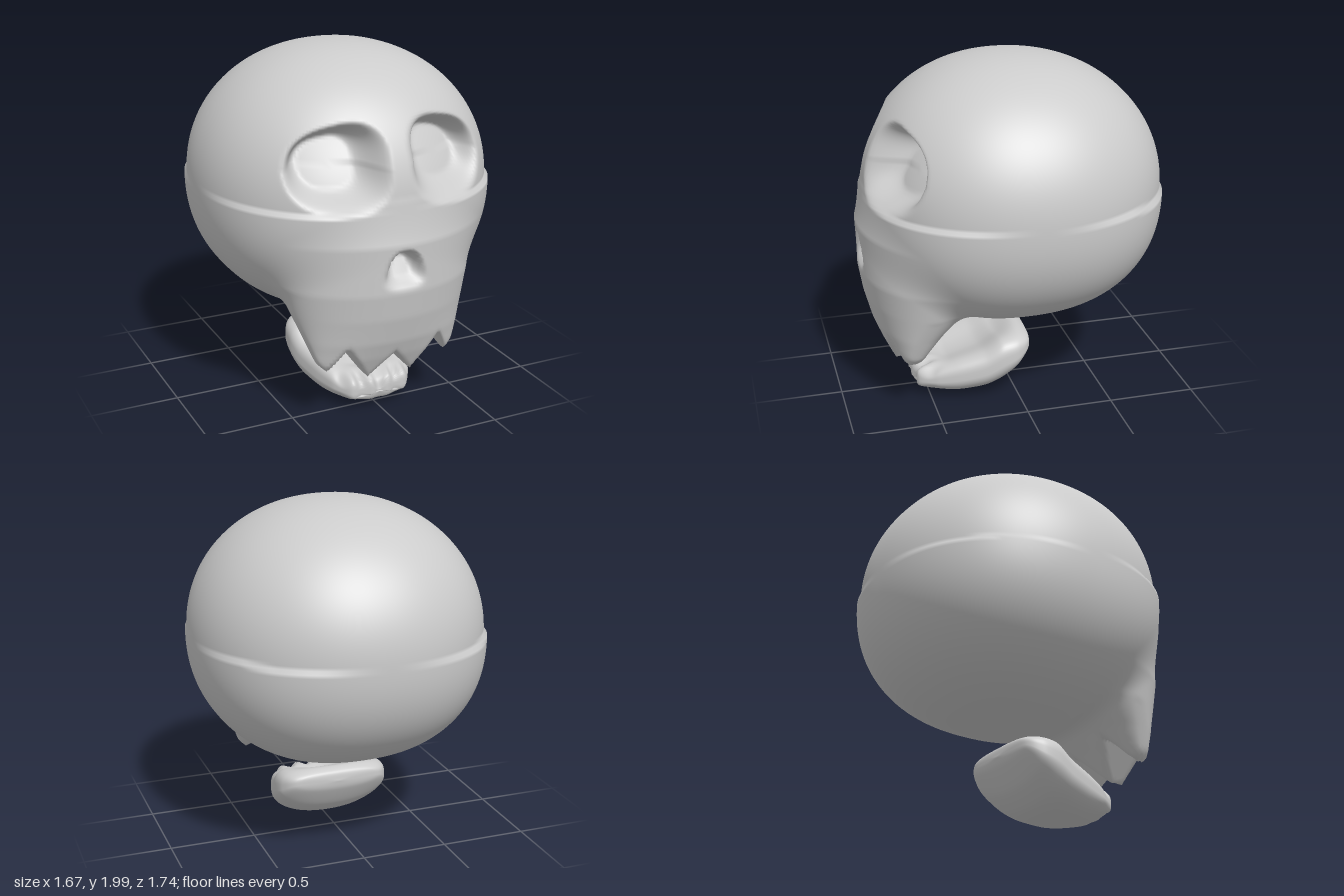
import * as THREE from 'three';
import { mergeVertices } from 'three/addons/utils/BufferGeometryUtils.js';

const { smoothstep, clamp } = THREE.MathUtils;

// Linear lookup: rows are [key, value, value, ...] with rising keys.
function lookup(rows, key) {
  let i = 1;
  while (i < rows.length - 1 && rows[i][0] < key) i++;
  const a = rows[i - 1], b = rows[i];
  const t = clamp((key - a[0]) / (b[0] - a[0]), 0, 1);
  return a.map((v, k) => v + (b[k] - v) * t);
}

function smoothMin(a, b, k) {
  const h = Math.max(k - Math.abs(a - b), 0) / k;
  return Math.min(a, b) - h * h * k * 0.25;
}
const smoothMax = (a, b, k) => -smoothMin(-a, -b, k);

// Face sections: height, front z, back z, half width
const FACE = [
  [0.28, 0.70, 0.58, 0.39], [0.4, 0.76, 0.47, 0.43], [0.5, 0.80, 0.37, 0.46],
  [0.65, 0.84, 0.2, 0.51], [0.8, 0.865, 0.1, 0.55], [1.07, 0.87, 0, 0.56],
  [1.3, 0.79, -0.1, 0.5], [1.5, 0.55, -0.1, 0.3],
];
// Lower edge of the upper teeth: distance from the middle, height
const TEETH = [[0, 0.42], [0.13, 0.265], [0.27, 0.475], [0.36, 0.325], [0.41, 0.36], [0.5, 0.6]];

// Negative inside the cranium
function cranium(x, y, z) {
  const dy = y - 1.25;
  const n = dy > 0 ? 2.1 : 2.3;
  const sum = Math.abs(x / 0.835) ** n + Math.abs(dy / (dy > 0 ? 0.75 : 0.74)) ** n
    + Math.abs(z / (z > 0 ? 0.83 : 0.87)) ** n;
  return (sum ** (1 / n) - 1) * 0.8;
}

// Negative inside the tapering face with its toothed lower edge
function face(x, y, z) {
  const [, front, back, width] = lookup(FACE, y);
  const depth = (front - back) / 2;
  const side = (Math.hypot(x / width, (z - (front + back) / 2) / depth) - 1) * Math.max(depth, 0.12);
  const bottom = (lookup(TEETH, Math.abs(x))[1] - y) * 0.6;
  return Math.max(smoothMax(side, bottom, 0.025), y - 1.5);
}

const solid = (p) => smoothMin(cranium(p.x, p.y, p.z), face(p.x, p.y, p.z), 0.07);

// Eye sockets and nose opening, pressed straight back into the front
function pressSockets(p) {
  if (p.z < 0.2) return;
  const ex = Math.abs(p.x) - 0.32;
  let ey = p.y - 1.465;
  if (ey > 0) ey += 0.22 * ex;
  const eye = (Math.abs(ex / 0.265) ** 2.5 + Math.abs(ey / 0.225) ** 2.5) ** 0.4;
  const eyeDepth = clamp(0.2 + 0.35 * ey, 0.12, 0.26);

  const ny = p.y - 0.93;
  const nose = (Math.abs(p.x / (0.115 - 0.4 * ny)) ** 3 + Math.abs(ny / 0.115) ** 3) ** (1 / 3);
  const noseDepth = clamp(0.09 + 0.6 * ny, 0.03, 0.15);

  p.z -= eyeDepth * (1 - smoothstep(eye, 0.5, 1.02));
  p.z -= noseDepth * (1 - smoothstep(nose, 0.45, 1.02));
}

// Skull: a sphere whose points travel outwards until they leave the solid
function skullGeometry() {
  const sphere = new THREE.SphereGeometry(1, 260, 160);
  sphere.deleteAttribute('uv');
  sphere.deleteAttribute('normal');
  const geo = mergeVertices(sphere, 1e-5);
  const pos = geo.attributes.position;
  const centre = new THREE.Vector3(0, 1.1, 0.1);
  const dir = new THREE.Vector3(), p = new THREE.Vector3();
  const at = (r) => p.copy(centre).addScaledVector(dir, r);
  for (let i = 0; i < pos.count; i++) {
    dir.fromBufferAttribute(pos, i).normalize();
    let far = 0.4;
    while (far < 1.4 && solid(at(far)) < 0) far += 0.02;
    let near = far - 0.02;
    for (let k = 0; k < 10; k++) {
      const mid = (near + far) / 2;
      if (solid(at(mid)) < 0) near = mid; else far = mid;
    }
    at(near);
    pressSockets(p);
    pos.setXYZ(i, p.x, p.y, p.z);
  }
  geo.computeVertexNormals();
  return geo;
}

// Jaw sections: z, bottom, top, half width
const JAW = [
  [-0.09, 0.32, 0.32, 0], [-0.075, 0.26, 0.375, 0.25], [0, 0.14, 0.405, 0.325],
  [0.1, 0.06, 0.405, 0.34], [0.2, 0.025, 0.335, 0.325], [0.35, 0.01, 0.275, 0.285],
  [0.48, 0.03, 0.215, 0.235], [0.56, 0.055, 0.175, 0.18], [0.585, 0.1, 0.12, 0],
];

// Jaw: a closed scoop lofted from back to front, dished on top, lumpy teeth in front
function jawGeometry() {
  const heights = new THREE.CatmullRomCurve3(JAW.map(([z, b, t]) => new THREE.Vector3(z, b, t)), false, 'catmullrom', 0.4);
  const widths = new THREE.CatmullRomCurve3(JAW.map(([z, , , w]) => new THREE.Vector3(w, z, 0)), false, 'catmullrom', 0.4);
  const rings = 64, sides = 72;
  const points = [], faces = [];
  for (let i = 0; i <= rings; i++) {
    const h = heights.getPoint(i / rings);
    const w = Math.max(widths.getPoint(i / rings).x, 0);
    const middle = (h.y + h.z) / 2, half = Math.max(h.z - h.y, 0) / 2;
    for (let j = 0; j < sides; j++) {
      const a = (j / sides) * Math.PI * 2;
      const c = Math.cos(a), s = Math.sin(a);
      const u = Math.sign(c) * Math.abs(c) ** (s > 0 ? 0.7 : 0.9);
      const up = s > 0 ? s ** 0.55 : s;
      const x = w * u;
      let y = middle + half * up, z = h.x;
      // hollow between the rims
      if (s > 0) y -= 0.5 * half * (1 - u * u) ** 2 * up * smoothstep(z, -0.05, 0.1) * (1 - smoothstep(z, 0.38, 0.5));
      // row of blunt teeth
      const lump = Math.cos((x / 0.105) * Math.PI * 2 + Math.PI) * smoothstep(z, 0.42, 0.54);
      z += 0.012 * lump * (s > -0.6 ? 1 : 0.3);
      if (s > 0) y += 0.014 * lump * up;
      points.push(x, y, z);
      if (i < rings) {
        const k = (j + 1) % sides, lo = i * sides, hi = lo + sides;
        faces.push(lo + j, lo + k, hi + k, lo + j, hi + k, hi + j);
      }
    }
  }
  const raw = new THREE.BufferGeometry();
  raw.setAttribute('position', new THREE.Float32BufferAttribute(points, 3));
  raw.setIndex(faces);
  const geo = mergeVertices(raw, 1e-5);
  geo.computeVertexNormals();
  return geo;
}

export function createModel() {
  const group = new THREE.Group();
  group.name = 'skullWithJaw';
  const material = new THREE.MeshStandardMaterial({ color: 0xcccccc });
  const add = (name, geometry) => {
    const mesh = new THREE.Mesh(geometry, material);
    mesh.name = name;
    group.add(mesh);
  };
  add('skull', skullGeometry());
  add('lowerJaw', jawGeometry());
  return group;
}
